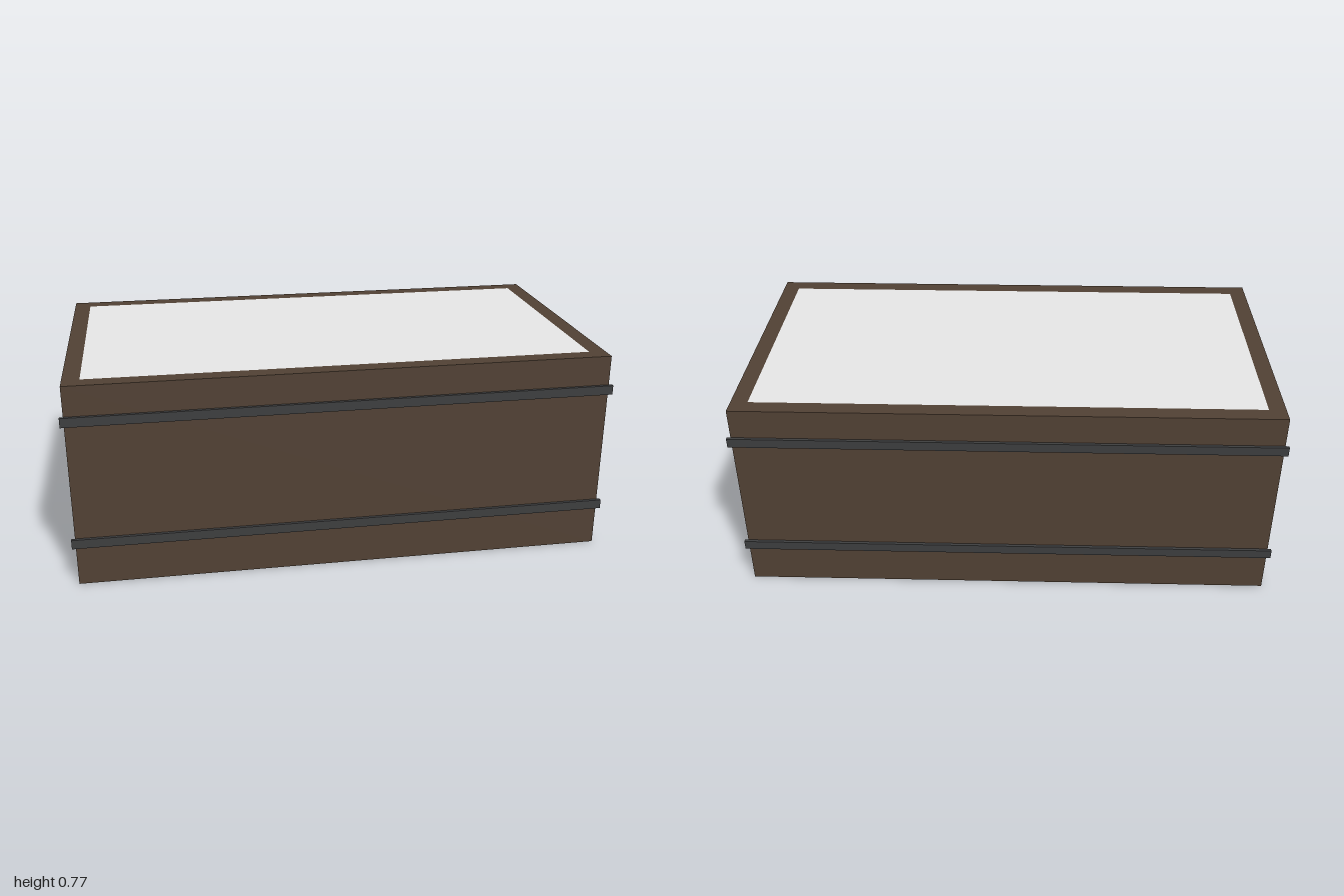
import * as THREE from 'three';

const W = 1.974, H = 0.767, D = 1.05, RIM = 0.062;

export function createModel() {
  const group = new THREE.Group();
  const material = (name, color) => {
    const m = new THREE.MeshStandardMaterial({ color });
    m.name = name;
    return m;
  };
  const brown = material('brown', 0x514134);
  const paleGrey = material('pale grey', 0xe6e6e6);
  const darkGrey = material('dark grey', 0x3d3e3f);

  const box = (name, w, h, d, x, y, z, mat) => {
    const mesh = new THREE.Mesh(new THREE.BoxGeometry(w, h, d), mat);
    mesh.name = name;
    mesh.position.set(x, y, z);
    group.add(mesh);
  };

  // Four crate walls, cut as one rectangular frame
  const rect = (T, w, d) => {
    const s = new T();
    s.moveTo(-w / 2, -d / 2).lineTo(w / 2, -d / 2).lineTo(w / 2, d / 2).lineTo(-w / 2, d / 2).closePath();
    return s;
  };
  const outline = rect(THREE.Shape, W, D);
  outline.holes.push(rect(THREE.Path, W - 2 * RIM, D - 2 * RIM));
  const frame = new THREE.ExtrudeGeometry(outline, { depth: H, bevelEnabled: false });
  frame.rotateX(-Math.PI / 2);
  const walls = new THREE.Mesh(frame, brown);
  walls.name = 'crateWalls';
  group.add(walls);

  // Pale filling, flush with the rim above and below
  box('filling', W - 2 * RIM, H, D - 2 * RIM, 0, H / 2, 0, paleGrey);

  // Two rails along each long side
  for (const side of [-1, 1]) {
    for (const y of [0.168, 0.638]) {
      box('sideRail', 2, 0.035, 0.012, 0, y, side * (D / 2 + 0.006), darkGrey);
    }
  }
  return group;
}
